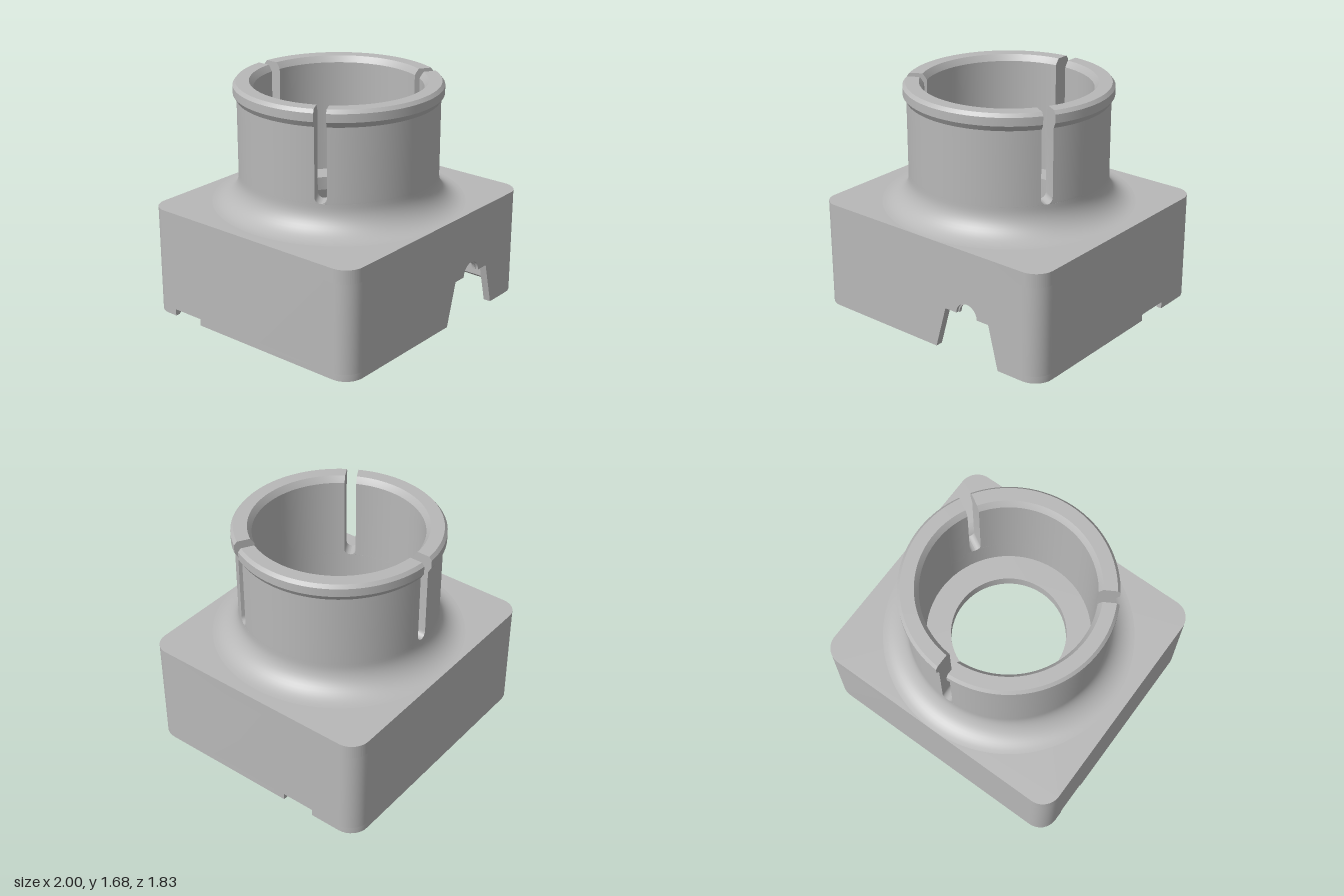
import * as THREE from 'three';
import { toCreasedNormals } from 'three/addons/utils/BufferGeometryUtils.js';

const W = 1, D = 0.915, R = 0.14, T = 0.055;   // base half sizes, corner radius, wall
const CEIL = 0.7, TOP = 0.8;

// Joins equal cross-section loops (outer side up, then inner side down) into a closed solid
function sweep(rings) {
  const n = rings[0].length, m = rings.length, idx = [], pts = rings.flat();
  const quad = (a, b, c, d) => idx.push(a, b, c, a, c, d);
  for (let i = 0; i < m - 1; i++) {
    for (let j = 0; j < n; j++) {
      const k = (j + 1) % n;
      quad(i * n + j, (i + 1) * n + j, (i + 1) * n + k, i * n + k);
    }
  }
  for (let j = 0; j < n / 2 - 1; j++) {
    const e = (m - 1) * n;
    quad(j, j + 1, n - 2 - j, n - 1 - j);
    quad(e + j, e + n - 1 - j, e + n - 2 - j, e + j + 1);
  }
  // make the faces point outwards
  let volume = 0;
  for (let i = 0; i < idx.length; i += 3) {
    volume += pts[idx[i]].dot(pts[idx[i + 1]].clone().cross(pts[idx[i + 2]]));
  }
  if (volume < 0) idx.reverse();
  const g = new THREE.BufferGeometry().setFromPoints(pts);
  g.setIndex(idx);
  return toCreasedNormals(g, 0.5);
}

// Frames [x, z, outward x, outward z] around a rounded corner
function corner(sx, sz, reverse) {
  const out = [];
  for (let i = 0; i <= 8; i++) {
    const a = (i / 8) * Math.PI / 2, nx = sx * Math.sin(a), nz = sz * Math.cos(a);
    out.push([sx * (W - R) + R * nx, sz * (D - R) + R * nz, nx, nz]);
  }
  return reverse ? out.reverse() : out;
}

// Wall along a list of frames; section is a list of [inset, y]
const wall = (frames, section) => sweep(frames.map(([x, z, nx, nz]) =>
  section.map(([s, y]) => new THREE.Vector3(x - nx * s, y, z - nz * s))));

function roundedRect() {
  const s = new THREE.Shape();
  const x = W - R, z = D - R;
  s.absarc(x, z, R, 0, Math.PI / 2);
  s.absarc(-x, z, R, Math.PI / 2, Math.PI);
  s.absarc(-x, -z, R, Math.PI, Math.PI * 1.5);
  s.absarc(x, -z, R, Math.PI * 1.5, Math.PI * 2);
  s.closePath();
  return s;
}

export function createModel() {
  const model = new THREE.Group();
  const grey = new THREE.MeshStandardMaterial({ color: 0xb8b8b8 });
  grey.name = 'grey plastic';
  const add = (name, geometry, parent = model) => {
    const mesh = new THREE.Mesh(geometry, grey);
    mesh.name = name;
    parent.add(mesh);
    return mesh;
  };

  // Base: side and back walls, with a small notch in each side's bottom edge
  const base = new THREE.Group();
  base.name = 'base';
  model.add(base);
  const fl = corner(1, 1), bl = corner(1, -1, true), br = corner(-1, -1), fr = corner(-1, 1, true);
  const notch = 0.05, ch = 0.02;
  const foot = [[0, 0], [0, ch], [0, notch], [T, notch], [T, ch], [T - ch, 0]];
  add('upperWalls', wall([...fl, ...bl, ...br, ...fr],
    [[0, notch], [0, CEIL], [T, CEIL], [T, notch]]), base);
  add('leftFrontFoot', wall([...fl, [W, -0.29, 1, 0]], foot), base);
  add('backFoot', wall([[W, -0.54, 1, 0], ...bl, ...br, [-W, -0.70, -1, 0]], foot), base);
  add('rightFrontFoot', wall([[-W, -0.45, -1, 0], ...fr], foot), base);

  // Front wall with the cable opening
  const front = new THREE.Shape();
  const fx = W - R;
  front.moveTo(-fx, 0);
  front.lineTo(0.10, 0);
  front.lineTo(0.19, 0.32);
  front.lineTo(0.29, 0.32);
  front.absarc(0.38, 0.32, 0.09, Math.PI, 0, true);
  front.lineTo(0.57, 0.32);
  front.lineTo(0.65, 0);
  front.lineTo(fx, 0);
  front.lineTo(fx, CEIL);
  front.lineTo(-fx, CEIL);
  front.closePath();
  const frontGeo = new THREE.ExtrudeGeometry(front, { depth: T, bevelEnabled: false, curveSegments: 20 });
  add('frontWall', frontGeo.translate(0, 0, D - T), base);

  // Thin gripping rib inside the cable arch
  const rib = new THREE.Shape();
  rib.absarc(0.38, 0.32, 0.092, 0, Math.PI, false);
  rib.absarc(0.38, 0.32, 0.08, Math.PI, 0, true);
  const ribGeo = new THREE.ExtrudeGeometry(rib, { depth: 0.02, bevelEnabled: false, curveSegments: 20 });
  add('cableRib', ribGeo.translate(0, 0, D - 0.04), base);

  // Top plate with the round through hole
  const plate = roundedRect();
  plate.holes.push(new THREE.Path().absarc(0, 0, 0.42, 0, Math.PI * 2, true));
  const plateGeo = new THREE.ExtrudeGeometry(plate, { depth: TOP - CEIL, bevelEnabled: false, curveSegments: 32 });
  plateGeo.rotateX(-Math.PI / 2).translate(0, CEIL, 0);
  add('topPlate', toCreasedNormals(plateGeo, 0.5), base);

  // Snap ridges inside the side walls
  for (const s of [-1, 1]) {
    const ridge = add('snapRidge', new THREE.BoxGeometry(0.03, 0.04, 0.57), base);
    ridge.position.set(s * (W - T - 0.01), 0.14, 0.04);
  }

  // Collar: filleted root and bore
  const collar = new THREE.Group();
  collar.name = 'collar';
  model.add(collar);
  const RO = 0.72, RI = 0.6, F = 0.195, SLOT = 1.02, HW = 0.0425;
  const root = [];
  for (let i = 0; i <= 12; i++) {
    const a = (i / 12) * Math.PI / 2;
    root.push(new THREE.Vector2(RO + F * (1 - Math.sin(a)), TOP + F * (1 - Math.cos(a))));
  }
  root.push(new THREE.Vector2(RO, SLOT));
  add('collarRoot', new THREE.LatheGeometry(root, 96), collar);
  add('collarBore', new THREE.LatheGeometry(
    [new THREE.Vector2(RI, SLOT), new THREE.Vector2(RI, TOP)], 96), collar);

  // Three spring segments separated by round-ended slots: levels of [y, outer, inner, slot half width]
  const levels = [];
  for (let i = 0; i <= 6; i++) {
    const a = (i / 6) * Math.PI / 2;
    levels.push([SLOT + HW * (1 - Math.cos(a)), RO, RI, HW * Math.sin(a)]);
  }
  levels.push([1.56, RO, RI, HW], [1.60, 0.745, RI, HW], [1.64, 0.745, RI, HW],
    [1.66, 0.745, 0.612, HW], [1.685, 0.725, 0.63, HW]);
  const loop = [
    ...levels.map(([y, o, , h]) => [y, o, h]),
    ...levels.map(([y, , i, h]) => [y, i, h]).reverse(),
  ];
  const span = Math.PI * 2 / 3, steps = 32;
  for (let k = 0; k < 3; k++) {
    const start = Math.PI / 3 + k * span, rings = [];
    for (let i = 0; i <= steps; i++) {
      rings.push(loop.map(([y, r, h]) => {
        const gap = Math.asin(h / r), a = start + gap + (i / steps) * (span - 2 * gap);
        return new THREE.Vector3(r * Math.sin(a), y, r * Math.cos(a));
      }));
    }
    add('springSegment', sweep(rings), collar);
  }
  return model;
}
